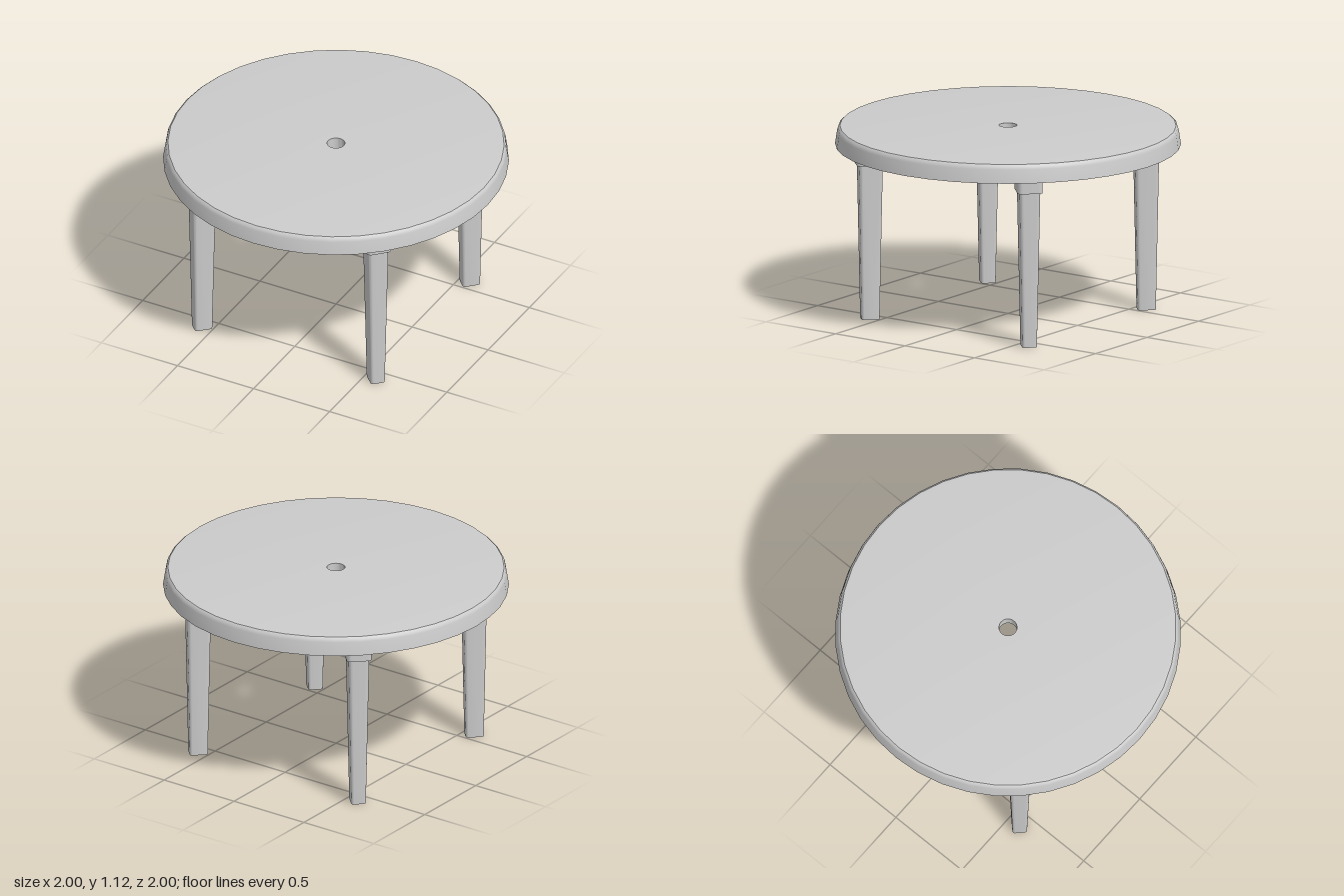
import * as THREE from 'three';
import { toCreasedNormals } from 'three/addons/utils/BufferGeometryUtils.js';

// Upright rounded block from y0 to y1; its bottom is scaled by bx, bz for a taper
function roundedPost(w, d, r, y0, y1, bx = 1, bz = 1) {
  const x = w / 2, y = d / 2;
  const s = new THREE.Shape();
  s.moveTo(-x + r, -y);
  s.lineTo(x - r, -y);
  s.absarc(x - r, -y + r, r, -Math.PI / 2, 0);
  s.lineTo(x, y - r);
  s.absarc(x - r, y - r, r, 0, Math.PI / 2);
  s.lineTo(-x + r, y);
  s.absarc(-x + r, y - r, r, Math.PI / 2, Math.PI);
  s.lineTo(-x, -y + r);
  s.absarc(-x + r, -y + r, r, Math.PI, Math.PI * 1.5);
  const g = new THREE.ExtrudeGeometry(s, { depth: y1 - y0, bevelEnabled: false, curveSegments: 4 });
  g.rotateX(-Math.PI / 2);
  const p = g.attributes.position;
  for (let i = 0; i < p.count; i++) {
    const t = p.getY(i) / (y1 - y0);
    p.setX(i, p.getX(i) * (bx + (1 - bx) * t));
    p.setZ(i, p.getZ(i) * (bz + (1 - bz) * t));
  }
  g.translate(0, y0, 0);
  return toCreasedNormals(g, 0.6);
}

export function createModel() {
  const model = new THREE.Group();
  model.name = 'roundTable';
  const plastic = new THREE.MeshStandardMaterial({ color: 0xcccccc });
  plastic.name = 'light grey plastic';

  // Hollow top with a skirt, a centre hole and a short sleeve below it
  const profile = [
    [1, 1.01], [0.988, 1.09], [0.983, 1.108], [0.972, 1.118], [0.955, 1.12],
    [0.052, 1.12], [0.052, 1.05], [0.066, 1.05], [0.066, 1.1],
    [0.962, 1.1], [0.976, 1.01], [1, 1.01],
  ].map(([r, y]) => new THREE.Vector2(r, y));
  const top = new THREE.Mesh(toCreasedNormals(new THREE.LatheGeometry(profile, 40), 0.6), plastic);
  top.name = 'tableTop';
  model.add(top);

  // Four tapered legs in sockets, turned towards the centre
  const legGeometry = roundedPost(0.14, 0.122, 0.022, 0, 0.93, 0.75, 0.7);
  const socketGeometry = roundedPost(0.166, 0.146, 0.025, 0.92, 1.105);
  for (const sx of [-1, 1]) {
    for (const sz of [-1, 1]) {
      const group = new THREE.Group();
      group.name = (sz > 0 ? 'front' : 'back') + (sx > 0 ? 'Left' : 'Right') + 'Leg';
      const leg = new THREE.Mesh(legGeometry, plastic);
      leg.name = 'leg';
      const socket = new THREE.Mesh(socketGeometry, plastic);
      socket.name = 'legSocket';
      group.add(leg, socket);
      group.position.set(sx * 0.571, 0, sz * 0.571);
      group.rotation.y = -Math.atan2(sz, sx);
      model.add(group);
    }
  }
  return model;
}
